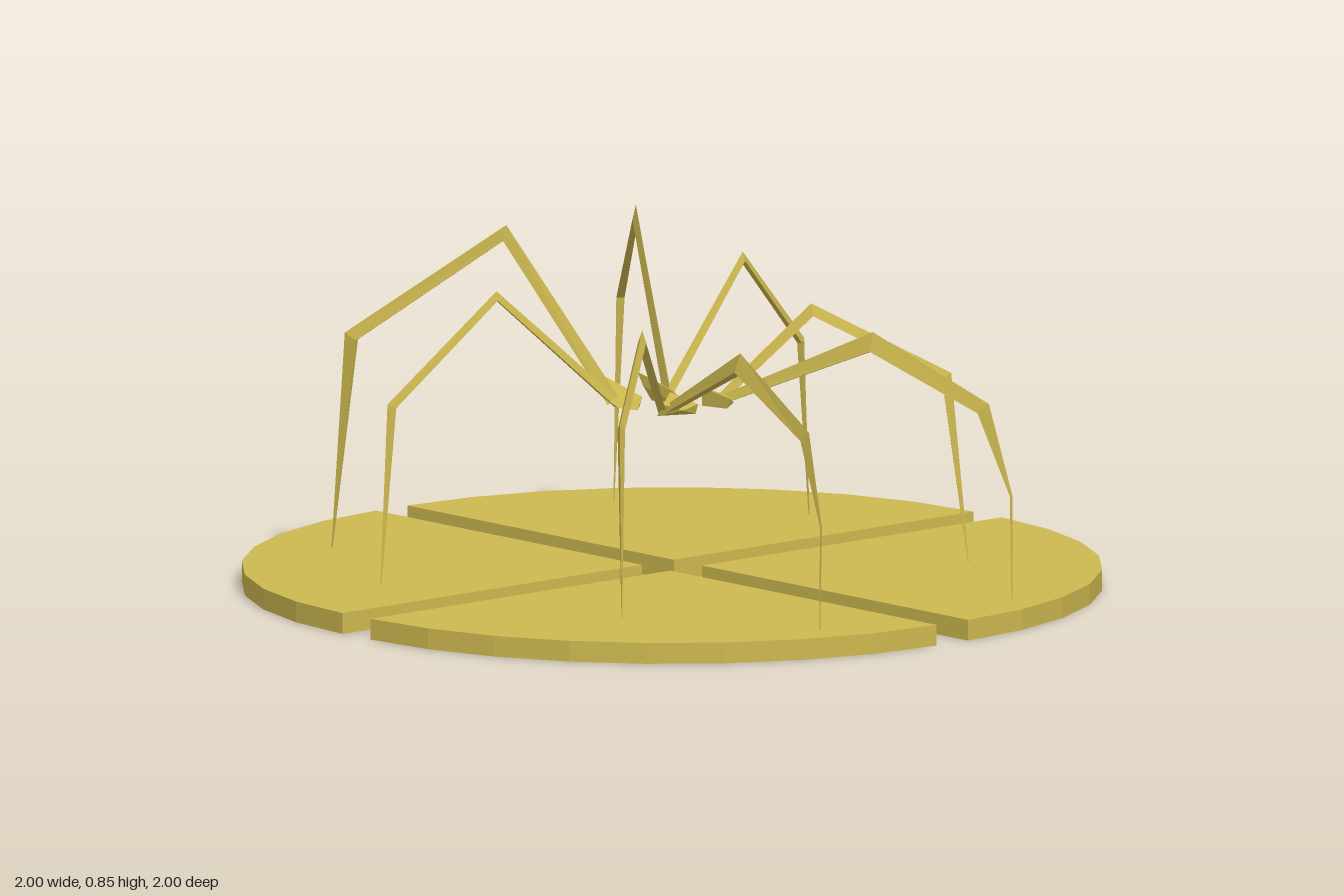
import * as THREE from 'three';
import { ConvexGeometry } from 'three/addons/geometries/ConvexGeometry.js';

const material = new THREE.MeshStandardMaterial({ color: 0xccb84f, flatShading: true, side: THREE.DoubleSide });

function part(name, geometry) {
  const mesh = new THREE.Mesh(geometry, material);
  mesh.name = name;
  return mesh;
}

// Quarter of the disc, pulled away from the centre to leave a cross-shaped gap
function plateGeometry() {
  const gap = 0.05, radius = 0.95, steps = 8;
  const shape = new THREE.Shape().moveTo(gap, gap);
  for (let i = 0; i <= steps; i++) {
    const a = (i / steps) * Math.PI / 2;
    shape.lineTo(gap + radius * Math.cos(a), gap + radius * Math.sin(a));
  }
  shape.closePath();
  return new THREE.ExtrudeGeometry(shape, { depth: 0.05, bevelEnabled: false }).rotateX(-Math.PI / 2);
}

// Triangular tapering limb: each joint is [x, y, z, width, thickness], along its outer edge
function limbGeometry(joints, mirror) {
  const p = joints.map(([x, y, z]) => new THREE.Vector3(x * mirror, y, z));
  const last = p.length - 1;
  const heading = p[last].clone().sub(p[0]).setY(0).normalize();
  const side = new THREE.Vector3(0, 1, 0).cross(heading);
  const positions = [], index = [];
  p.forEach((q, i) => {
    const before = q.clone().sub(p[Math.max(i - 1, 0)]).normalize();
    const after = p[Math.min(i + 1, last)].clone().sub(q).normalize();
    const normal = before.add(after).cross(side).normalize();
    const [, , , w, h] = joints[i];
    for (const [s, n] of [[0, 0], [-w / 2, -h], [w / 2, -h]]) {
      positions.push(...q.clone().addScaledVector(side, s).addScaledVector(normal, n).toArray());
    }
    if (i === last) return;
    for (let j = 0; j < 3; j++) {
      const a = i * 3 + j, b = i * 3 + (j + 1) % 3;
      index.push(a, b, b + 3, a, b + 3, a + 3);
    }
  });
  index.push(0, 2, 1, last * 3, last * 3 + 1, last * 3 + 2);
  const geometry = new THREE.BufferGeometry();
  geometry.setAttribute('position', new THREE.Float32BufferAttribute(positions, 3));
  geometry.setIndex(index);
  const flat = geometry.toNonIndexed();
  flat.computeVertexNormals();
  return flat;
}

const legs = {
  frontLeg: [
    [0.08, 0.455, 0.07, 0.02, 0.02], [0.21, 0.652, 0.48, 0.032, 0.045], [0.285, 0.515, 0.81, 0.02, 0.035],
    [0.302, 0.3, 0.875, 0.005, 0.006], [0.304, 0.05, 0.872, 0.002, 0.002]],
  frontSideLeg: [
    [0.08, 0.45, 0.06, 0.02, 0.02], [0.267, 0.675, 0.195, 0.02, 0.03],
    [0.525, 0.505, 0.405, 0.018, 0.026], [0.55, 0.05, 0.44, 0.002, 0.003]],
  backSideLeg: [
    [0.08, 0.45, -0.11, 0.02, 0.02], [0.39, 0.732, -0.187, 0.014, 0.022],
    [0.66, 0.48, -0.272, 0.014, 0.022], [0.68, 0.05, -0.275, 0.002, 0.003]],
  backLeg: [
    [0.08, 0.45, -0.1, 0.02, 0.03], [0.205, 0.845, -0.36, 0.014, 0.038],
    [0.433, 0.57, -0.68, 0.02, 0.034], [0.447, 0.05, -0.712, 0.002, 0.003]],
};

// Corners of the small angular blocks where the legs meet
const hips = {
  frontHip: [
    [0.05, 0.435, 0.05], [0.05, 0.48, 0.05], [0.1, 0.43, 0.06], [0.1, 0.46, 0.08],
    [0.05, 0.44, 0.14], [0.05, 0.465, 0.15], [0.08, 0.45, 0.13]],
  backHip: [
    [0.05, 0.43, -0.06], [0.05, 0.455, -0.05], [0.07, 0.425, -0.045], [0.1, 0.43, -0.08],
    [0.1, 0.45, -0.13], [0.06, 0.42, -0.14], [0.05, 0.485, -0.18], [0.05, 0.455, -0.16]],
};

export function createModel() {
  const model = new THREE.Group();
  model.name = 'spiderOnSplitDisc';

  // Four base plates
  const plate = plateGeometry();
  for (let i = 0; i < 4; i++) {
    const mesh = part('basePlate', plate);
    mesh.rotation.y = i * Math.PI / 2;
    model.add(mesh);
  }

  // Legs and hips on both sides
  for (const [sideName, mirror] of [['left', 1], ['right', -1]]) {
    const half = new THREE.Group();
    half.name = sideName + 'Half';
    for (const [name, joints] of Object.entries(legs)) half.add(part(name, limbGeometry(joints, mirror)));
    for (const [name, corners] of Object.entries(hips)) {
      half.add(part(name, new ConvexGeometry(corners.map(([x, y, z]) => new THREE.Vector3(x * mirror, y, z)))));
    }
    model.add(half);
  }
  return model;
}
